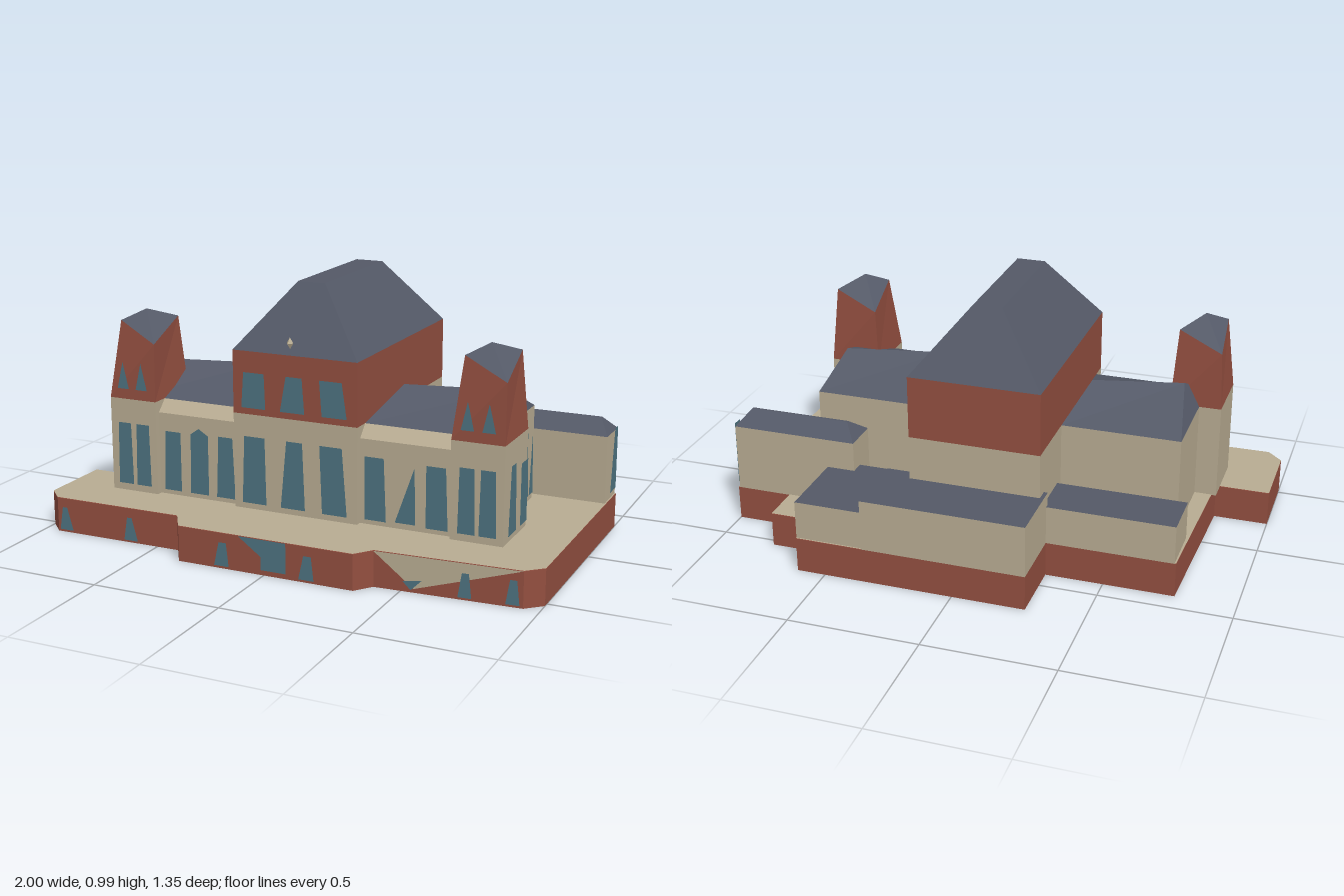
import * as THREE from 'three';

const mat = (name, color, side = THREE.FrontSide) => {
  const m = new THREE.MeshStandardMaterial({ color, side });
  m.name = name;
  return m;
};

export function createModel() {
  const model = new THREE.Group();
  model.name = 'stationBuilding';
  const brick = mat('brick', 0x934f40);
  const stone = mat('stone', 0xb8ac92, THREE.DoubleSide);
  const slate = mat('slate', 0x545967);
  const glass = mat('glass', 0x4e7380, THREE.DoubleSide);

  const add = (name, geometry, material) => {
    const mesh = new THREE.Mesh(geometry, material);
    mesh.name = name;
    model.add(mesh);
    return mesh;
  };

  // Box given by its limits; the top face may have another material
  const block = (name, [x0, x1], [y0, y1], [z0, z1], side, top = side) => {
    const g = new THREE.BoxGeometry(x1 - x0, y1 - y0, z1 - z0);
    g.translate((x0 + x1) / 2, (y0 + y1) / 2, (z0 + z1) / 2);
    add(name, g, [side, side, top, side, side, side]);
  };

  // Faceted solid between two four-corner rings: front left, front right, back right, back left
  const loft = (name, low, high, material) => {
    const pos = [];
    const v = (p) => new THREE.Vector3(...p);
    const tri = (a, b, c) => {
      const area = v(b).sub(v(a)).cross(v(c).sub(v(a))).length();
      if (area > 1e-6) pos.push(...a, ...b, ...c);
    };
    for (let i = 0; i < 4; i++) {
      const j = (i + 1) % 4;
      tri(low[i], low[j], high[j]);
      tri(low[i], high[j], high[i]);
    }
    tri(high[0], high[1], high[2]);
    tri(high[0], high[2], high[3]);
    const g = new THREE.BufferGeometry();
    g.setAttribute('position', new THREE.Float32BufferAttribute(pos, 3));
    g.computeVertexNormals();
    add(name, g, material);
  };
  const ring = (x0, x1, y, zBack, zFront) =>
    [[x0, y, zFront], [x1, y, zFront], [x1, y, zBack], [x0, y, zBack]];

  const polygon = (pts) => new THREE.Shape(pts.map((p) => new THREE.Vector2(...p)));
  // Thin pane facing the front
  const frontPane = (name, z, pts, material = glass) => {
    const pane = add(name, new THREE.ShapeGeometry(polygon(pts)), material);
    pane.position.z = z;
    return pane;
  };
  // Thin pane facing right, corners given as z, y
  const sidePane = (name, x, pts) => {
    const g = new THREE.ShapeGeometry(polygon(pts.map(([z, y]) => [-z, y])));
    add(name, g.rotateY(Math.PI / 2).translate(x, 0, 0), glass);
  };
  // Trapezium: bottom from a to b, top from c to d
  const trap = (a, b, c, d, y0, y1) => [[a, y0], [b, y0], [d, y1], [c, y1]];

  // Plinth with the terrace on top
  const H = 0.135;
  const outline = polygon([
    [-1, 0.22], [-1, 0.52], [-0.94, 0.58], [-0.41, 0.575], [-0.35, 0.67], [0.35, 0.67],
    [0.4, 0.605], [0.94, 0.575], [1, 0.52], [1, -0.37], [0.78, -0.37], [0.78, -0.53],
    [0.61, -0.53], [0.61, -0.675], [-0.28, -0.675], [-0.28, -0.42], [-0.77, -0.42], [-0.79, 0.22],
  ].map(([x, z]) => [x, -z]));
  add('plinth', new THREE.ExtrudeGeometry(outline, { depth: H, bevelEnabled: false }).rotateX(-Math.PI / 2), brick);
  add('terrace', new THREE.ShapeGeometry(outline).rotateX(-Math.PI / 2).translate(0, H + 0.002, 0), stone);

  // Plinth front: door, small windows and a stone ramp face
  frontPane('plinthDoor', 0.674, [[-0.1, H], [-0.01, 0.07], [-0.01, 0.02], [0.09, 0.02], [0.09, H]]);
  for (const x of [-0.19, 0.15]) frontPane('plinthWindow', 0.674, trap(x - 0.01, x + 0.05, x + 0.01, x + 0.04, 0.01, 0.1));
  for (const x of [-0.93, -0.64]) frontPane('plinthWindow', 0.584, trap(x, x + 0.06, x + 0.015, x + 0.035, 0.01, 0.1));
  const slope = Math.atan2(0.03, 0.54);
  const onSlope = (pts, lift, name, material) => {
    const local = pts.map(([x, y]) => [x - 0.4, y]);
    const pane = frontPane(name, 0.605 + lift, local, material);
    pane.position.x = 0.4;
    pane.rotation.y = slope;
  };
  onSlope([[0.4, H], [0.55, 0.015], [0.94, H]], 0.003, 'rampFace', stone);
  onSlope([[0.51, 0.04], [0.54, 0.01], [0.58, 0.05]], 0.006, 'plinthWindow', glass);
  for (const x of [0.71, 0.88]) onSlope(trap(x, x + 0.05, x + 0.015, x + 0.04, 0.01, 0.1), 0.006, 'plinthWindow', glass);

  // Central hall with its tall hipped roof
  block('hallLower', [-0.265, 0.24], [H, 0.505], [-0.45, 0.39], stone);
  block('hallUpper', [-0.265, 0.24], [0.505, 0.745], [-0.45, 0.39], brick);
  loft('hallRoof', ring(-0.265, 0.24, 0.745, -0.45, 0.39), ring(-0.07, 0.04, 0.99, -0.29, 0.235), slate);
  const hallWindows = [[-0.23, -0.13, -0.22, -0.135], [-0.07, 0.03, -0.045, 0.02], [0.1, 0.2, 0.09, 0.18]];
  for (const w of hallWindows) {
    frontPane('hallWindow', 0.394, trap(...w, 0.16, 0.42));
    frontPane('hallUpperWindow', 0.394, trap(...w, 0.53, 0.665));
  }

  // Small ornament on the front of the hall roof
  const ornament = add('ornament', new THREE.OctahedronGeometry(0.022), stone);
  ornament.scale.set(0.6, 1, 0.9);
  ornament.position.set(-0.02, 0.795, 0.405);

  // Two wings with sloping front ledges and hipped roofs
  for (const [x0, x1, r0, r1] of [[-0.72, -0.265, -0.665, -0.325], [0.24, 0.72, 0.305, 0.685]]) {
    block('wingWall', [x0, x1], [H, 0.46], [-0.18, 0.365], stone);
    loft('wingLedge', ring(x0, x1, 0.46, -0.18, 0.365), ring(x0, x1, 0.505, -0.18, 0.32), stone);
    const left = [r0, 0.61, 0.11], right = [r1, 0.61, 0.03];
    loft('wingRoof', ring(x0, x1, 0.505, -0.18, 0.32), [left, right, right, left], slate);
  }
  const wingWindows = [
    trap(-0.585, -0.51, -0.575, -0.51, 0.155, 0.39),
    [[-0.47, 0.155], [-0.39, 0.155], [-0.39, 0.39], [-0.43, 0.415], [-0.465, 0.39]],
    trap(-0.355, -0.275, -0.345, -0.285, 0.155, 0.395),
    trap(0.26, 0.345, 0.26, 0.335, 0.155, 0.395),
    [[0.38, 0.16], [0.46, 0.16], [0.455, 0.375]],
    trap(0.5, 0.585, 0.5, 0.575, 0.155, 0.39),
  ];
  for (const w of wingWindows) frontPane('wingWindow', 0.369, w);

  // Two corner towers with tapering tops, both of the same hand
  for (const x of [-0.805, 0.6]) {
    const low = ring(x, x + 0.2, 0.505, 0.14, 0.39);
    const eaves = [[x + 0.025, 0.8, 0.335], [x + 0.2, 0.73, 0.387], [x + 0.18, 0.8, 0.17], [x + 0.01, 0.73, 0.143]];
    block('towerLower', [x, x + 0.2], [H, 0.505], [0.14, 0.39], stone);
    loft('towerUpper', low, eaves, brick);
    loft('towerRoof', eaves, Array(4).fill([x + 0.1, 0.84, 0.27]), slate);
    for (const w of [x + 0.03, x + 0.11]) {
      frontPane('towerWindow', 0.394, trap(w, w + 0.065, w + 0.005, w + 0.06, 0.165, 0.41));
      frontPane('towerUpperWindow', 0.392, [[w + 0.005, 0.545], [w + 0.055, 0.545], [w + 0.03, 0.65]]);
    }
  }

  // Windows along the right side
  sidePane('towerSideWindow', 0.804, trap(0.345, 0.26, 0.325, 0.275, 0.16, 0.415));
  sidePane('towerSideWindow', 0.804, trap(0.215, 0.142, 0.215, 0.142, 0.16, 0.395));
  sidePane('wingSideWindow', 0.724, trap(0.09, 0.005, 0.075, 0.02, 0.16, 0.415));
  sidePane('wingSideWindow', 0.724, trap(-0.04, -0.12, -0.04, -0.1, 0.16, 0.415));
  sidePane('wingSideWindow', 0.724, [[-0.13, 0.16], [-0.175, 0.16], [-0.16, 0.415]]);

  // Narrow annex on the right with a hipped roof
  block('annexWall', [0.5, 0.995], [H, 0.4], [-0.37, -0.225], stone);
  loft('annexRoof', ring(0.5, 0.995, 0.4, -0.37, -0.225), ring(0.55, 0.95, 0.455, -0.305, -0.295), slate);
  sidePane('annexWindow', 0.998, trap(-0.29, -0.368, -0.325, -0.365, 0.16, 0.41));

  // Low flat-roofed rooms at the back
  block('rearRoom', [-0.28, 0.35], [H, 0.335], [-0.675, -0.4], stone, slate);
  block('rearRightRoom', [0.33, 0.61], [H, 0.285], [-0.67, -0.315], stone, slate);
  block('rearLeftRoom', [-0.765, -0.265], [H, 0.285], [-0.42, -0.225], stone, slate);

  return model;
}
